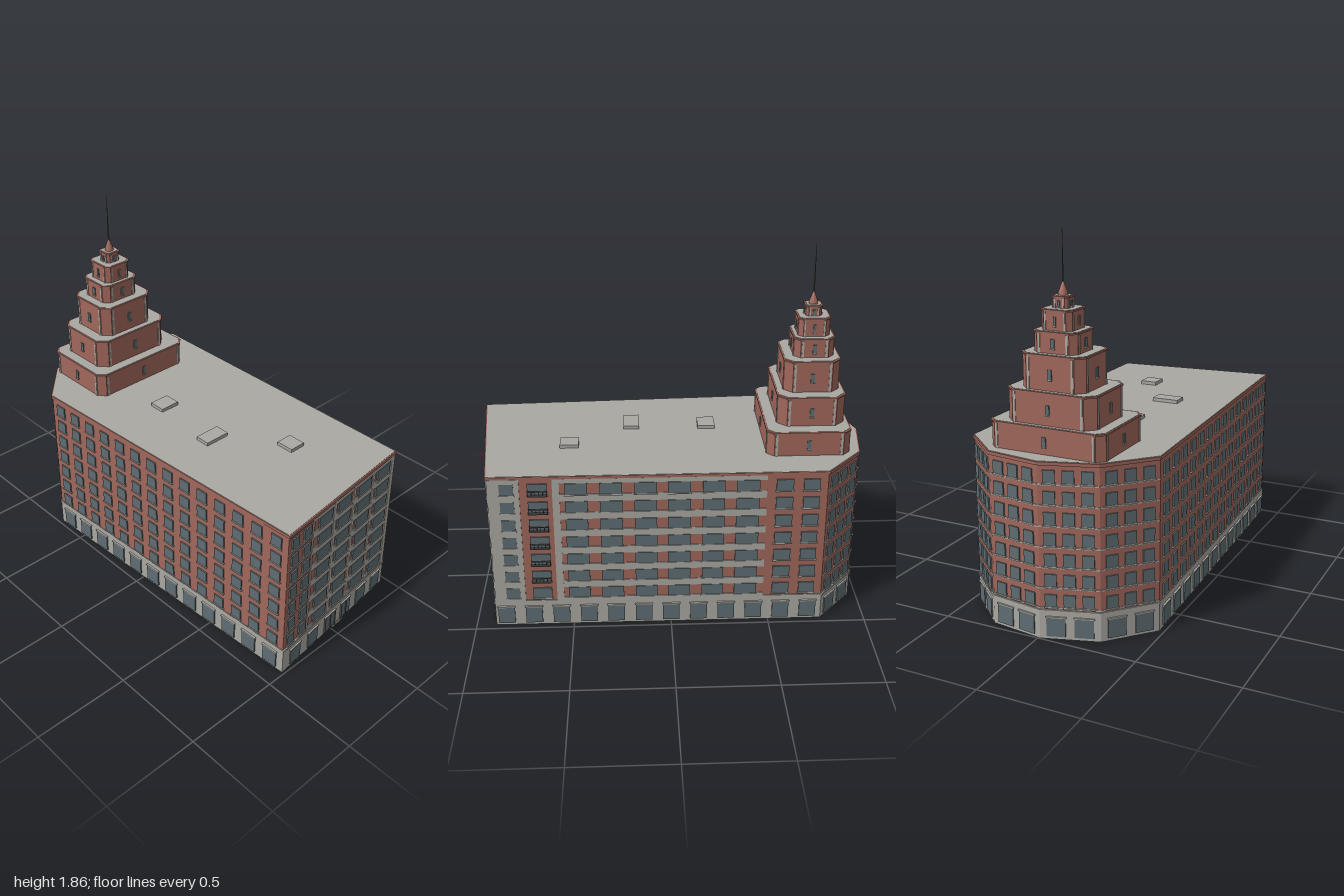
import * as THREE from 'three';
import { mergeGeometries } from 'three/addons/utils/BufferGeometryUtils.js';

const mat = (name, color) => Object.assign(new THREE.MeshStandardMaterial({ color }), { name });

export function createModel() {
  const brick = mat('brick', 0xa0675b);
  const stone = mat('pale stone', 0xaaa8a2);
  const glass = mat('window glass', 0x5e6d72);
  const metal = mat('dark metal', 0x555252);
  const model = new THREE.Group();
  model.name = 'steppedTowerBuilding';

  // Footprint corners (x, z), starting at the front and turning round the right side
  const plan = [[-0.4, 0.985], [0.465, 0.895], [0.465, -0.77], [0.26, -0.955],
    [-0.01, -0.992], [-0.28, -0.905], [-0.475, -0.69]];

  const add = (parent, name, geometry, material) => {
    const mesh = new THREE.Mesh(geometry, material);
    mesh.name = name;
    parent.add(mesh);
    return mesh;
  };

  // Upright prism over a plan, optionally scaled outwards
  const prism = (pts, y0, y1, scale = 1) => {
    const shape = new THREE.Shape(pts.map(([x, z]) => new THREE.Vector2(x * scale, -z * scale)));
    return new THREE.ExtrudeGeometry(shape, { depth: y1 - y0, bevelEnabled: false })
      .rotateX(-Math.PI / 2).translate(0, y0, 0);
  };

  // Box from limits along the wall, up, and outwards
  const box = (u0, u1, y0, y1, d0, d1) => new THREE.BoxGeometry(u1 - u0, y1 - y0, d1 - d0)
    .translate((u0 + u1) / 2, (y0 + y1) / 2, (d0 + d1) / 2);
  const plate = (u0, u1, y0, y1, d = 0.004) => box(u0, u1, y0, y1, -0.001, d);

  // Main block
  add(model, 'groundStorey', prism(plan, 0, 0.14, 1.004), stone);
  add(model, 'upperStoreys', prism(plan, 0.14, 0.846), brick);
  add(model, 'groundLedge', prism(plan, 0.136, 0.146, 1.008), stone);
  add(model, 'cornice', prism(plan, 0.84, 0.856, 1.008), brick);
  add(model, 'roof', prism(plan, 0.85, 0.858, 1.001), stone);

  // Seven window rows
  const rows = Array.from({ length: 7 }, (_, i) => 0.162 + 0.0993 * i);
  const rowH = 0.06;

  // Evenly spaced openings [start, end]
  const spaced = (n, from, to, width) => Array.from({ length: n }, (_, i) => {
    const c = from + (to - from) * (i + 0.5) / n;
    return [c - width / 2, c + width / 2];
  });

  const walls = plan.map(([ax, az], i) => {
    const [bx, bz] = plan[(i + 1) % plan.length];
    const group = new THREE.Group();
    group.name = ['frontWall', 'leftWall', 'backLeftFacet', 'backFacetLeft',
      'backFacetRight', 'backRightFacet', 'rightWall'][i];
    group.position.set(ax, 0, az);
    group.rotation.y = -Math.atan2(bz - az, bx - ax);
    model.add(group);
    return { group, length: Math.hypot(bx - ax, bz - az) };
  });

  // Windows and sills for one wall
  const glaze = (wall, upper, ground) => {
    const panes = [], sills = [];
    for (const [a, b] of upper) {
      for (const y of rows) {
        panes.push(plate(a, b, y, y + rowH, 0.007));
        sills.push(plate(a - 0.004, b + 0.004, y - 0.007, y, 0.01));
      }
    }
    for (const [a, b] of ground) {
      panes.push(plate(a, b, 0.015, 0.108, 0.009));
      sills.push(plate(a - 0.004, b + 0.004, 0.108, 0.114, 0.012));
    }
    add(wall.group, 'windows', mergeGeometries(panes), glass);
    add(wall.group, 'sills', mergeGeometries(sills), stone);
  };

  // Stone bands between the window rows
  const bands = (wall, a, b) => {
    const parts = [-1, 0, 1, 2, 3, 4, 5, 6].map((i) => plate(a, b,
      i < 0 ? 0.145 : rows[i] + rowH, i === 6 ? 0.842 : rows[i + 1]));
    add(wall.group, 'stoneBands', mergeGeometries(parts), stone);
  };
  const piers = (wall, list) => add(wall.group, 'stonePiers',
    mergeGeometries(list.map(([a, b]) => plate(a, b, 0.145, 0.842, 0.005))), stone);

  // Front wall
  const front = walls[0];
  const fx = (x) => x + 0.4;
  const span = ([a, b]) => [fx(a), fx(b)];
  glaze(front,
    [[-0.375, -0.325], [-0.285, -0.23], [-0.17, -0.064], [-0.015, 0.09], [0.15, 0.26], [0.315, 0.425]].map(span),
    [[-0.345, -0.265], [-0.2, -0.12], [-0.055, 0.03], [0.085, 0.163], [0.22, 0.303], [0.36, 0.435]].map(span));
  bands(front, fx(-0.21), front.length);
  piers(front, [[-0.215, -0.205], [-0.05, -0.03], [0.112, 0.13], [0.278, 0.295], [0.44, 0.468]].map(span));
  add(front.group, 'floorLines', mergeGeometries(rows.map((y) =>
    plate(0, fx(-0.21), y + 0.074, y + 0.08, 0.004))), stone);
  add(front.group, 'doorStep', box(fx(0.01), fx(0.1), 0, 0.006, 0, 0.016), metal);
  add(front.group, 'doorPosts', mergeGeometries([-0.057, -0.013, 0.028, 0.083, 0.124].map((x) =>
    plate(fx(x), fx(x) + 0.004, 0.006, 0.11, 0.012))), metal);

  // Long wall on the left
  const side = walls[1];
  const sz = ([a, b]) => [0.895 - a, 0.895 - b];
  glaze(side,
    [[0.836, 0.767], [0.7, 0.605], [0.52, 0.41], [0.35, 0.24], [0.18, 0.07], [0.016, -0.096],
      [-0.155, -0.263], [-0.32, -0.434], [-0.515, -0.6], [-0.65, -0.73]].map(sz),
    Array.from({ length: 12 }, (_, i) => sz([0.885 - 0.1405 * i, 0.8 - 0.1405 * i])));
  bands(side, ...sz([0.58, -0.47]));
  piers(side, [[0.895, 0.74], [0.58, 0.545]].map(sz));

  // Balconies: floor slab with a front and two side rails
  const balconies = rows.slice(1).flatMap((y) => {
    const [a, b] = sz([0.7, 0.605]);
    return [box(a, b, y - 0.004, y + 0.003, 0, 0.02), box(a, b, y + 0.022, y + 0.027, 0.016, 0.02),
      ...[0, 1, 2, 3, 4, 5].map((k) => {
        const u = a + (b - a - 0.003) * k / 5;
        return box(u, u + 0.003, y, y + 0.024, 0.016, 0.02);
      }),
      box(a, a + 0.003, y + 0.022, y + 0.027, 0, 0.02), box(b - 0.003, b, y + 0.022, y + 0.027, 0, 0.02)];
  });
  add(side.group, 'balconies', mergeGeometries(balconies), metal);

  // Faceted back and the long wall on the right
  for (const wall of walls.slice(2, 6)) {
    glaze(wall, spaced(3, 0.01, wall.length - 0.01, 0.056), spaced(2, 0.01, wall.length - 0.01, 0.09));
    add(wall.group, 'floorLines', mergeGeometries(rows.map((y) =>
      plate(0, wall.length, y - 0.012, y - 0.005, 0.003))), stone);
  }
  const far = walls[6];
  glaze(far, spaced(14, 0.01, far.length - 0.01, 0.062), spaced(12, 0.01, far.length - 0.01, 0.085));

  // Roof hatches [x0, x1, z0, z1]
  for (const [x0, x1, z0, z1] of [[-0.15, -0.04, -0.25, -0.16], [-0.19, -0.05, 0.15, 0.23], [0.075, 0.165, 0.46, 0.555]]) {
    add(model, 'roofHatch', box(x0, x1, 0.855, 0.876, z0, z1), stone);
  }

  // Stepped tower tiers [x0, x1, z0, z1, bottom, top, chamfer]
  const tower = new THREE.Group();
  tower.name = 'tower';
  model.add(tower);
  const octagon = (x0, x1, z0, z1, c) => [[x0 + c, z1], [x1 - c, z1], [x1, z1 - c], [x1, z0 + c],
    [x1 - c, z0], [x0 + c, z0], [x0, z0 + c], [x0, z1 - c]];
  const tiers = [
    [-0.295, 0.295, -0.905, -0.487, 0.85, 0.985, 0.035],
    [-0.236, 0.22, -0.882, -0.545, 0.98, 1.14, 0.045],
    [-0.173, 0.153, -0.858, -0.58, 1.13, 1.305, 0.04],
    [-0.123, 0.1, -0.83, -0.63, 1.3, 1.405, 0.03],
    [-0.089, 0.067, -0.808, -0.652, 1.4, 1.5, 0.022],
    [-0.051, 0.03, -0.768, -0.69, 1.49, 1.555, 0.012],
  ];
  tiers.forEach(([x0, x1, z0, z1, y0, y1, c], i) => {
    const tier = new THREE.Group();
    tier.name = 'tier' + (i + 1);
    tower.add(tier);
    add(tier, 'tierWalls', prism(octagon(x0, x1, z0, z1, c), y0, y1), brick);
    const o = 0.004;
    add(tier, 'tierCoping', prism(octagon(x0 - o, x1 + o, z0 - o, z1 + o, c), y1 - 0.007, y1), brick);
    add(tier, 'tierRoof', prism(octagon(x0 + o, x1 - o, z0 + o, z1 - o, c), y1 - 0.002, y1 + 0.002), stone);

    // Strips beside each corner and a slit window with sill on all four faces
    const cx = (x0 + x1) / 2, cz = (z0 + z1) / 2, hx = (x1 - x0) / 2, hz = (z1 - z0) / 2;
    const strips = [], slits = [], wh = Math.min(0.045, (y1 - y0) * 0.4), ym = (y0 + y1) / 2;
    for (let k = 0; k < 4; k++) {
      const half = (k % 2 ? hz : hx) - c, out = k % 2 ? hx : hz, w = i < 4 ? 0.011 : 0.007;
      const place = (g) => g.translate(0, 0, out).rotateY(k * Math.PI / 2).translate(cx, 0, cz);
      for (const s of [-1, 1]) {
        const u = s * (half - w);
        strips.push(place(plate(u - w / 2, u + w / 2, y0, y1 - 0.01, 0.003)));
      }
      strips.push(place(plate(-w, w, ym - wh / 2 - 0.006, ym - wh / 2, 0.008)));
      slits.push(place(plate(-w * 0.9, w * 0.9, ym - wh / 2, ym + wh / 2, 0.005)));
    }
    add(tier, 'tierStrips', mergeGeometries(strips), stone);
    add(tier, 'tierWindows', mergeGeometries(slits), glass);
  });

  // Pointed cap and needle
  const cap = new THREE.LatheGeometry([[0.024, 1.55], [0.022, 1.57], [0.013, 1.592], [0.004, 1.617], [0, 1.617]]
    .map(([r, y]) => new THREE.Vector2(r, y)), 12);
  add(tower, 'cap', cap, brick).position.set(-0.011, 0, -0.729);
  add(tower, 'needle', new THREE.CylinderGeometry(0.001, 0.004, 0.255, 8), metal).position.set(-0.011, 1.733, -0.729);

  return model;
}
